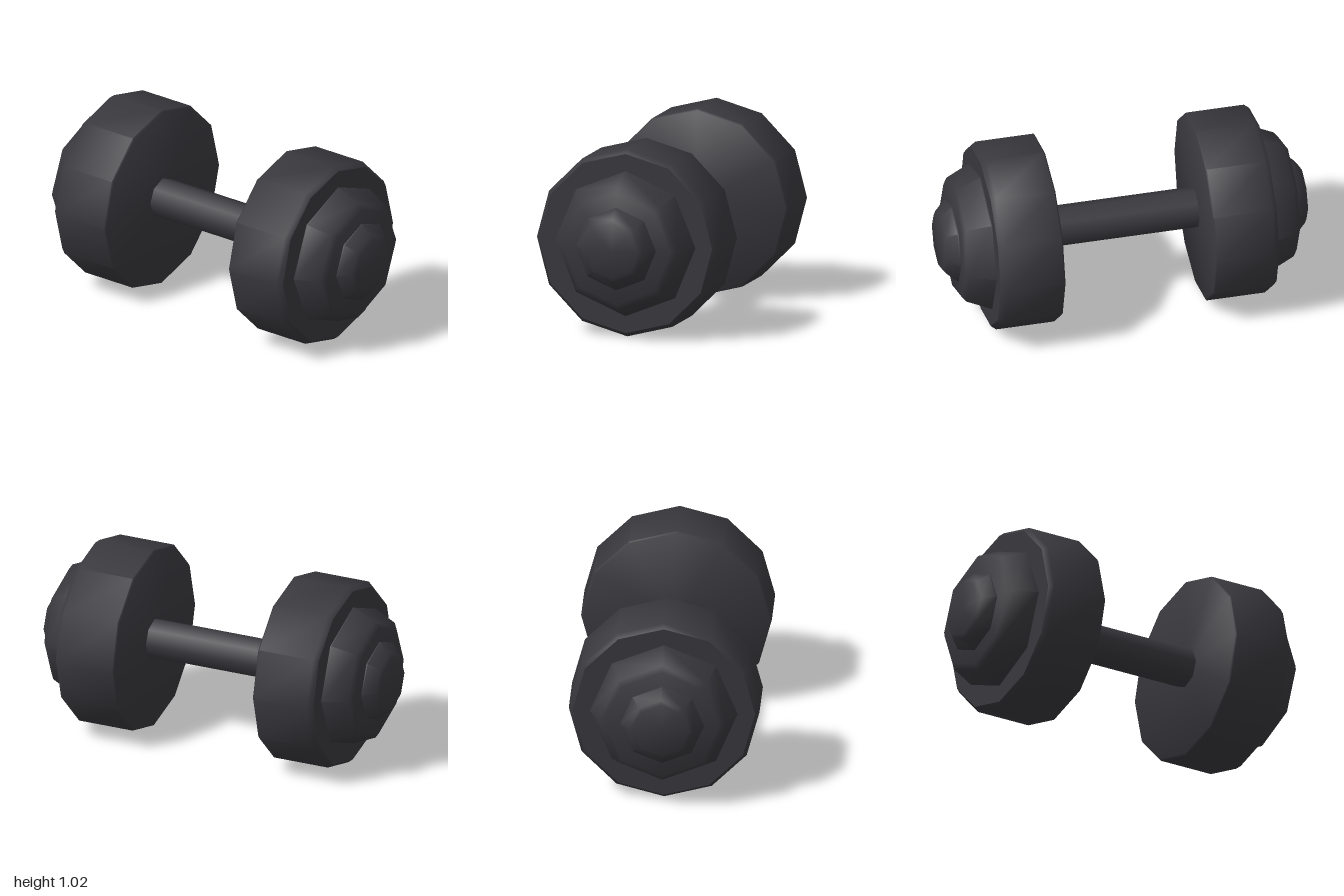
import * as THREE from 'three';
import { toCreasedNormals } from 'three/addons/utils/BufferGeometryUtils.js';

const AXIS_Y = 0.513;

// Turns a [radius, x] profile around the x axis, softening shallow edges only
function turned(profile, sides) {
  const points = profile.map(([r, x]) => new THREE.Vector2(r, x));
  const geometry = new THREE.LatheGeometry(points, sides);
  geometry.rotateZ(-Math.PI / 2);
  return toCreasedNormals(geometry, 0.85);
}

export function createModel() {
  const model = new THREE.Group();
  model.name = 'dumbbell';
  const rubber = new THREE.MeshStandardMaterial({ color: 0x38383d });
  rubber.name = 'charcoal rubber';

  const add = (parent, name, geometry) => {
    const mesh = new THREE.Mesh(geometry, rubber);
    mesh.name = name;
    parent.add(mesh);
  };

  // Twelve-sided plate, bevelled on its outer rim
  const plate = turned([
    [0, 0.412], [0.503, 0.412], [0.512, 0.42], [0.512, 0.738],
    [0.49, 0.765], [0, 0.765],
  ], 12);
  // Eight-sided stepped collar
  const collar = turned([
    [0, 0.75], [0.396, 0.75], [0.396, 0.77], [0.338, 0.9], [0.305, 0.922], [0, 0.922],
  ], 8);
  // Small eight-sided end cap
  const cap = turned([
    [0, 0.9], [0.225, 0.9], [0.225, 0.928], [0.172, 0.985], [0.15, 1], [0, 1],
  ], 8);

  // Matching weights at both ends
  for (const side of [1, -1]) {
    const weight = new THREE.Group();
    weight.name = side > 0 ? 'leftWeight' : 'rightWeight';
    weight.position.y = AXIS_Y;
    if (side < 0) weight.rotation.y = Math.PI;
    add(weight, 'plate', plate);
    add(weight, 'collar', collar);
    add(weight, 'endCap', cap);
    model.add(weight);
  }

  // Handle bar
  const handle = new THREE.CylinderGeometry(0.11, 0.11, 0.86, 8);
  handle.rotateZ(Math.PI / 2);
  handle.translate(0, AXIS_Y, 0);
  add(model, 'handle', handle);

  return model;
}
